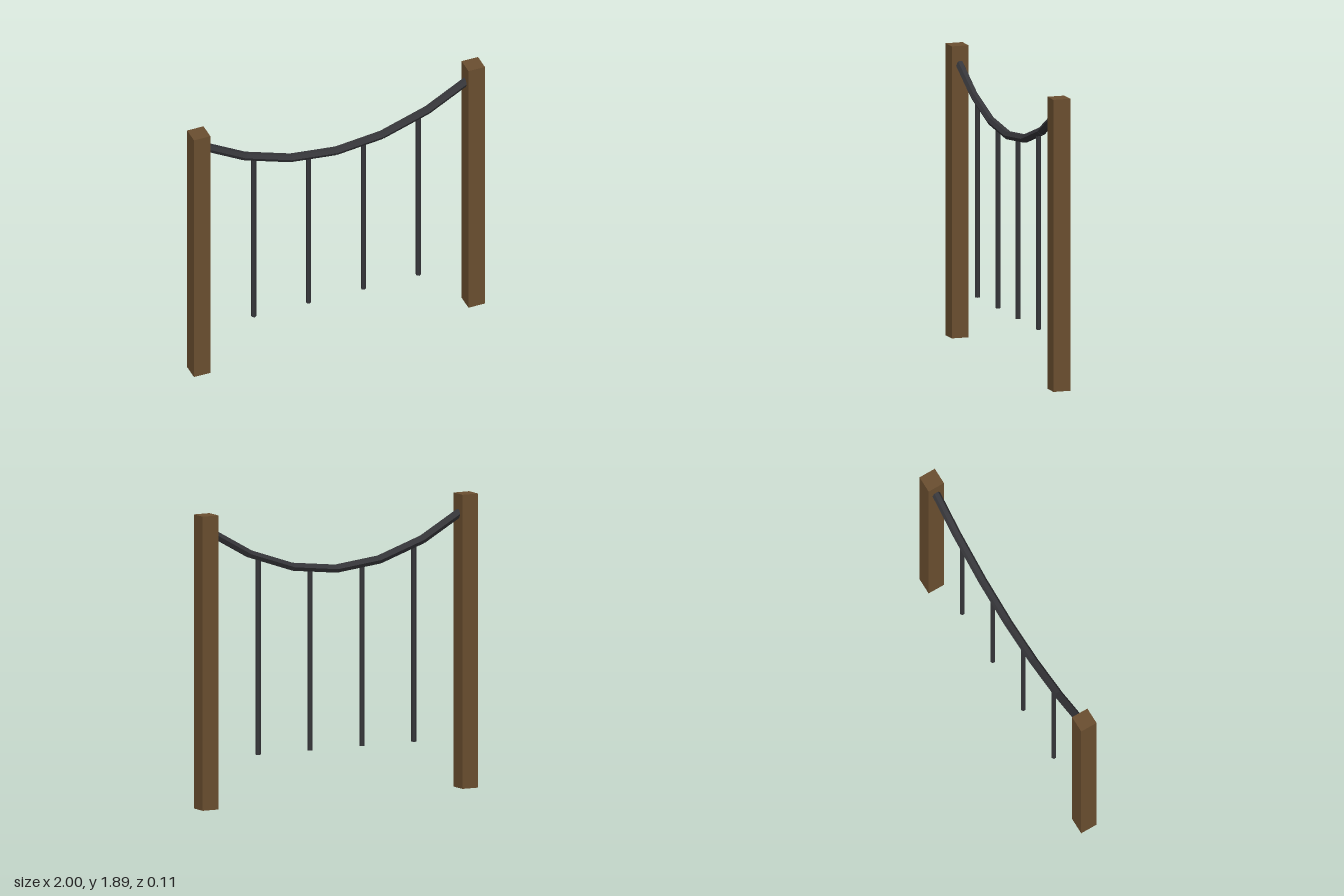
import * as THREE from 'three';

const wood = new THREE.MeshStandardMaterial({ color: 0x6b4f30, flatShading: true });
const iron = new THREE.MeshStandardMaterial({ color: 0x36363a, flatShading: true });

const SPAN = 0.943;     // post centre distance from the middle
const POST_HEIGHT = 1.887;
const POST_WIDTH = 0.113;

// Height of the sagging rail's centre line
const railHeight = (x) => 1.472 + 0.32 * (x / SPAN) ** 2;

// Six-sided straight bar between two points
function bar(name, from, to, radius) {
  const direction = to.clone().sub(from);
  const mesh = new THREE.Mesh(new THREE.CylinderGeometry(radius, radius, direction.length(), 6), iron);
  mesh.name = name;
  mesh.position.copy(from).add(to).multiplyScalar(0.5);
  mesh.quaternion.setFromUnitVectors(new THREE.Vector3(0, 1, 0), direction.normalize());
  return mesh;
}

export function createModel() {
  const model = new THREE.Group();
  model.name = 'railing';

  // Square wooden posts
  for (const [name, side] of [['leftPost', 1], ['rightPost', -1]]) {
    const post = new THREE.Mesh(new THREE.BoxGeometry(POST_WIDTH, POST_HEIGHT, POST_WIDTH), wood);
    post.name = name;
    post.position.set(side * SPAN, POST_HEIGHT / 2, 0);
    model.add(post);
  }

  // Sagging handrail made of six straight pieces
  const handrail = new THREE.Group();
  handrail.name = 'handrail';
  const pieces = 6;
  const railPoint = (i) => {
    const x = SPAN * (2 * i / pieces - 1);
    return new THREE.Vector3(x, railHeight(x), 0);
  };
  for (let i = 0; i < pieces; i++) {
    handrail.add(bar('railPiece', railPoint(i), railPoint(i + 1), 0.028));
  }
  model.add(handrail);

  // Thin bars hanging from the handrail
  const balusters = new THREE.Group();
  balusters.name = 'balusters';
  for (let i = 1; i <= 4; i++) {
    const x = SPAN * (2 * i / 5 - 1);
    balusters.add(bar('baluster', new THREE.Vector3(x, 0.321, 0), new THREE.Vector3(x, railHeight(x), 0), 0.017));
  }
  model.add(balusters);

  return model;
}
